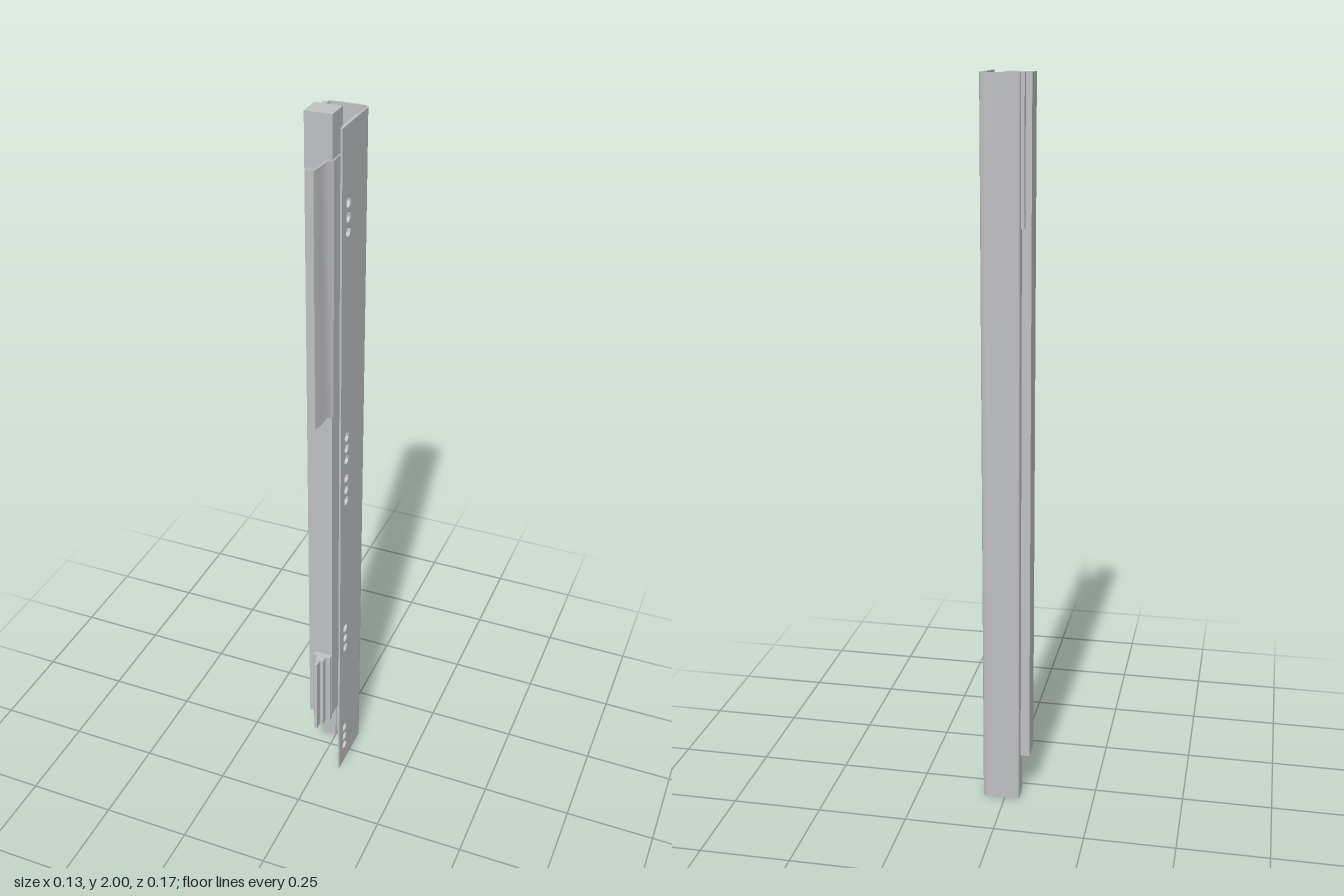
import * as THREE from 'three';
import { toCreasedNormals } from 'three/addons/utils/BufferGeometryUtils.js';

const steel = new THREE.MeshStandardMaterial({ color: 0xbfc0c2 });
steel.name = 'steel';

// Plan profile of [x, z] points, extruded upwards from y0 to y1
function column(name, points, y0, y1) {
  const shape = new THREE.Shape(points.map(([x, z]) => new THREE.Vector2(x, -z)));
  const geo = new THREE.ExtrudeGeometry(shape, { depth: y1 - y0, bevelEnabled: false });
  geo.rotateX(-Math.PI / 2).translate(0, y0, 0);
  const mesh = new THREE.Mesh(toCreasedNormals(geo, 0.6), steel);
  mesh.name = name;
  return mesh;
}

// Closed outline of a bent sheet: the path is one face, the other is offset with mitred corners
function sheet(path, t) {
  const p = path.map(([x, z]) => new THREE.Vector2(x, z));
  const normal = (a, b) => {
    const d = b.clone().sub(a).normalize();
    return new THREE.Vector2(-d.y, d.x);
  };
  const inner = p.map((q, i) => {
    const n1 = normal(p[Math.max(i - 1, 0)], p[Math.max(i, 1)]);
    const n2 = i < p.length - 1 ? normal(q, p[i + 1]) : n1;
    const m = n1.clone().add(n2).normalize();
    const r = q.clone().addScaledVector(m, t / m.dot(n1));
    return [r.x, r.y];
  });
  return [...path, ...inner.reverse()];
}

// Points of a rounded bend
function bend(cx, cz, r, from, to, n = 8) {
  return Array.from({ length: n + 1 }, (_, i) => {
    const a = from + (to - from) * i / n;
    return [cx + r * Math.cos(a), cz + r * Math.sin(a)];
  });
}

// Upright plate facing x, drilled with the mounting holes
const holeRows = [1.812, 1.775, 1.738, 1.165, 1.13, 1.095, 1.037, 1.0, 0.965,
  0.522, 0.486, 0.45, 0.136, 0.1, 0.064];
function drilledPlate(name, x0, x1, z0, z1) {
  const s = new THREE.Shape([[-z1, 0], [-z0, 0], [-z0, 2], [-z1, 2]]
    .map(([a, b]) => new THREE.Vector2(a, b)));
  for (const y of holeRows) {
    s.holes.push(new THREE.Path().absarc(-0.046, y, 0.014, 0, Math.PI * 2, true));
  }
  const geo = new THREE.ExtrudeGeometry(s, { depth: x1 - x0, bevelEnabled: false, curveSegments: 10 });
  geo.rotateY(Math.PI / 2).translate(x0, 0, 0);
  const mesh = new THREE.Mesh(toCreasedNormals(geo, 0.7), steel);
  mesh.name = name;
  return mesh;
}

export function createModel() {
  const g = new THREE.Group();
  g.name = 'drawerRunner';
  const H = Math.PI / 2;

  // Back wall with the folded rail on one side and the rounded corner on the other
  g.add(column('backRail', sheet([
    [0.0, -0.042], [-0.041, -0.042],
    ...bend(-0.034, -0.08, 0.007, 2 * H, 3 * H, 5),
    ...bend(0.049, -0.072, 0.015, -H, 0),
  ], 0.005), 0, 2));

  // Side wall and its thicker inner band
  g.add(drilledPlate('sideWall', 0.059, 0.064, -0.072, 0.086));
  g.add(drilledPlate('sideWallBand', 0.0555, 0.059, -0.021, 0.072));

  // Sliding block on the rail
  g.add(column('slidingBlock',
    [[-0.066, -0.061], [0.006, -0.061], [0.006, 0.004], [-0.066, 0.004]], 0.125, 2));

  // Small stop strip behind the block
  g.add(column('stopStrip',
    [[-0.05, -0.076], [-0.041, -0.076], [-0.041, -0.06], [-0.05, -0.06]], 1.62, 2));

  // Stepped lower guide with a thin rib
  g.add(column('lowerGuide', [
    [-0.048, 0.003], [0.005, 0.003], [0.005, 0.017], [-0.008, 0.022], [-0.008, 0.04],
    [-0.018, 0.04], [-0.018, 0.063], [-0.027, 0.063], [-0.027, 0.04],
    [-0.034, 0.04], [-0.034, 0.022], [-0.048, 0.017],
  ], 0.115, 0.365));

  // Hooked upper clip fixed to the side of the block
  g.add(column('upperClip', sheet([
    [0.01, -0.04], [0.01, 0.004], [-0.003, 0.022], [-0.004, 0.056],
    [-0.01, 0.081], [-0.029, 0.081], [-0.035, 0.067],
  ], 0.004), 1.19, 1.89));

  return g;
}
